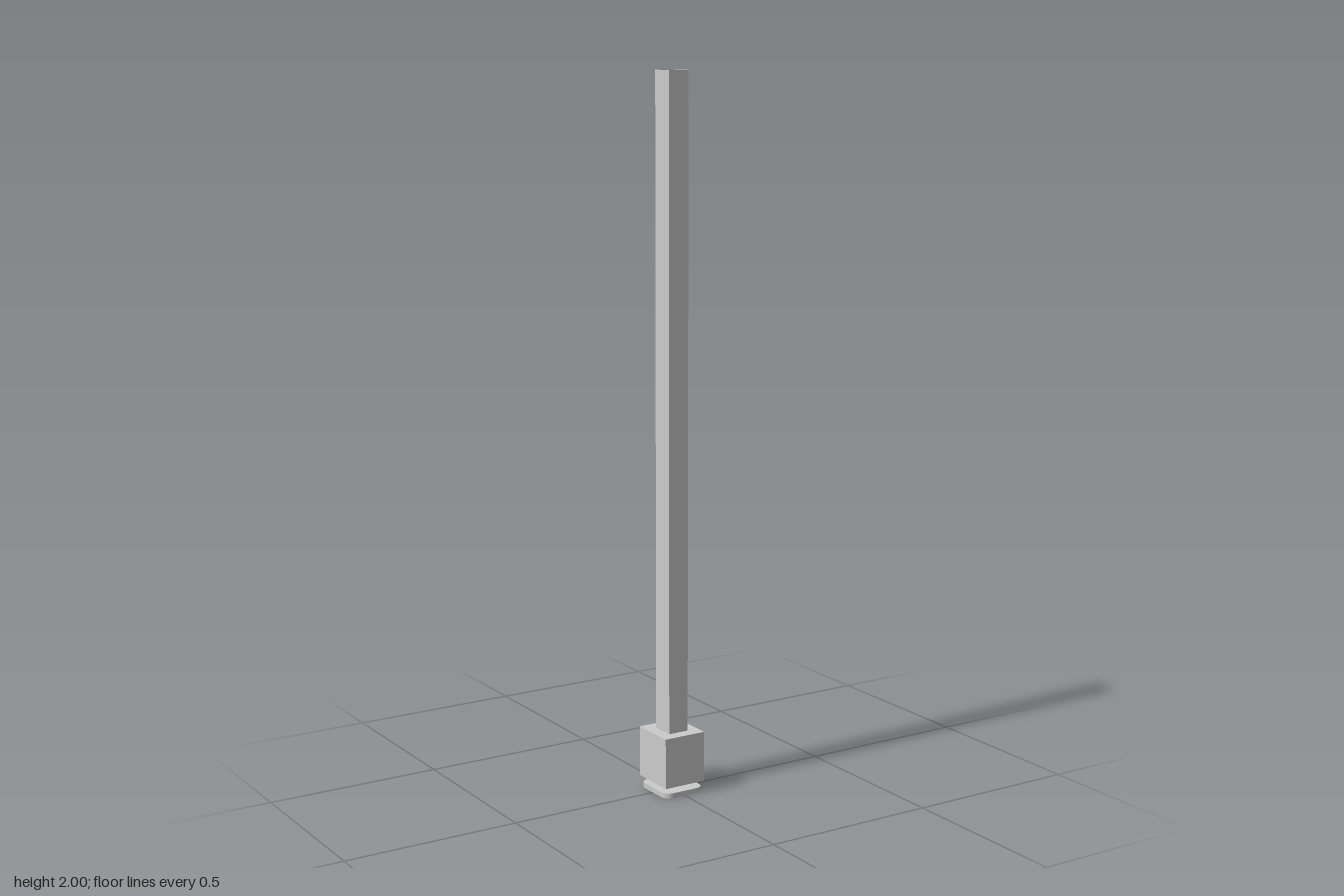
import * as THREE from 'three';

const grey = new THREE.MeshStandardMaterial({ color: 0xcccccc, flatShading: true, side: THREE.DoubleSide });

function add(group, name, geometry, y = 0) {
  const mesh = new THREE.Mesh(geometry, grey);
  mesh.name = name;
  mesh.position.y = y;
  group.add(mesh);
  return mesh;
}

// Rectangle outline with rounded corners, centred on the origin
function roundedRect(hw, hd, r) {
  const s = new THREE.Shape();
  s.absarc(hw - r, hd - r, r, 0, Math.PI / 2);
  s.absarc(-hw + r, hd - r, r, Math.PI / 2, Math.PI);
  s.absarc(-hw + r, -hd + r, r, Math.PI, Math.PI * 1.5);
  s.absarc(hw - r, -hd + r, r, Math.PI * 1.5, Math.PI * 2);
  s.closePath();
  return s;
}

export function createModel() {
  const group = new THREE.Group();
  group.name = 'post';

  // Foot: thin plate with rounded corners
  const foot = new THREE.ExtrudeGeometry(roundedRect(0.063, 0.068, 0.024), { depth: 0.014, bevelEnabled: false, curveSegments: 3 });
  add(group, 'footPlate', foot.rotateX(-Math.PI / 2));

  // Neck: small wedge sloping down to the back, profile in (z, y)
  const profile = new THREE.Shape([[-0.042, 0.013], [0.016, 0.013], [0.016, 0.032], [-0.016, 0.032]].map(p => new THREE.Vector2(...p)));
  const neck = new THREE.ExtrudeGeometry(profile, { depth: 0.07, bevelEnabled: false });
  add(group, 'neck', neck.translate(0, 0, -0.035).rotateY(-Math.PI / 2));

  // Socket block
  add(group, 'socketBlock', new THREE.BoxGeometry(0.127, 0.144, 0.137), 0.103);

  // Column: thin-walled square tube, open at the top
  const column = new THREE.CylinderGeometry(Math.SQRT1_2, Math.SQRT1_2, 1.825, 4, 1, true);
  column.rotateY(Math.PI / 4).scale(0.061, 1, 0.069);
  add(group, 'column', column, 1.0875);

  return group;
}
